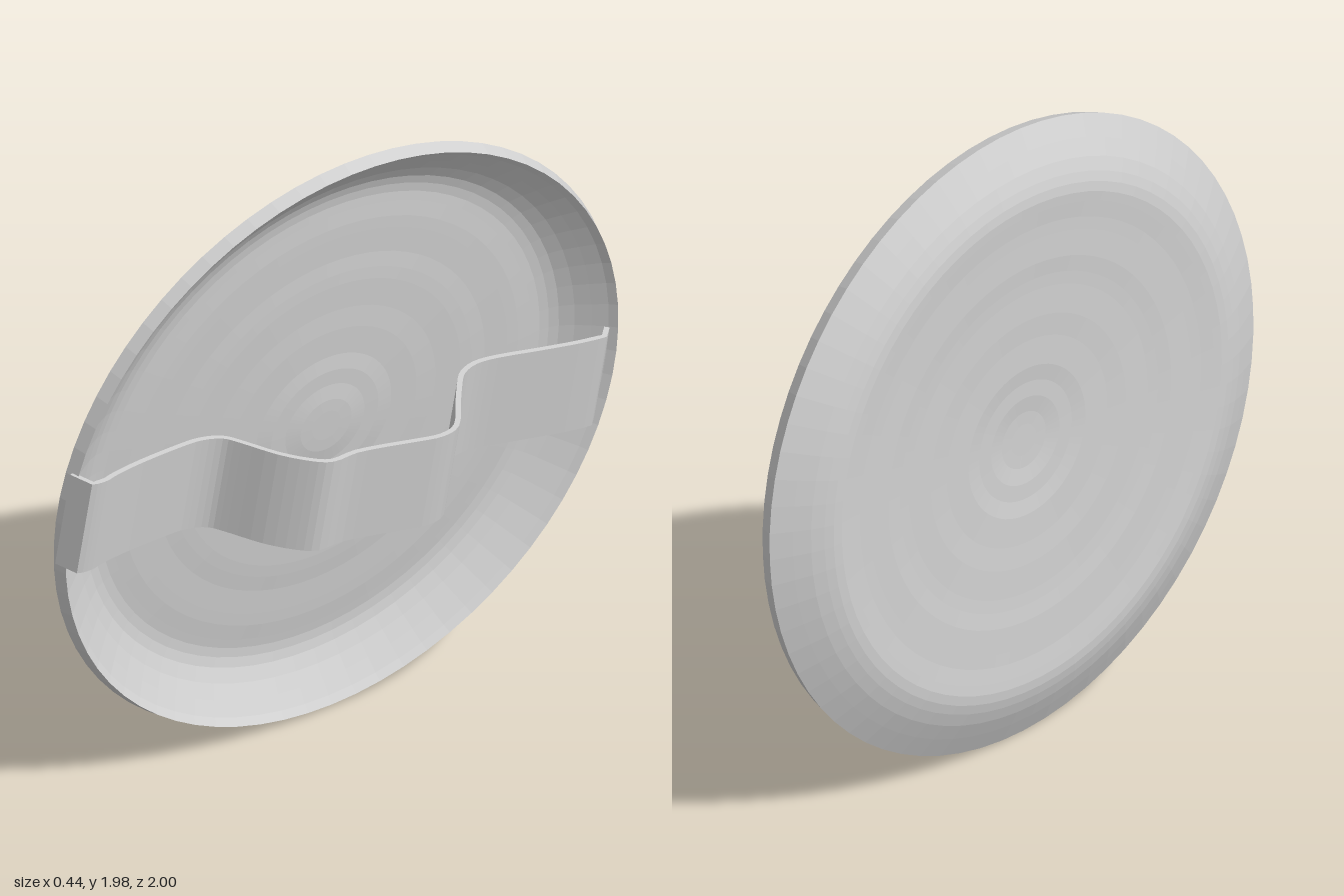
import * as THREE from 'three';

const V2 = (x, y) => new THREE.Vector2(x, y);

// Floor of the dish (radius, rise): shallow steps climbing towards the centre
const floorSteps = [
  [0, 0.034], [0.05, 0.034], [0.09, 0.033], [0.14, 0.027], [0.19, 0.026], [0.24, 0.02],
  [0.33, 0.019], [0.4, 0.015], [0.49, 0.014], [0.53, 0.012], [0.58, 0.008],
  [0.66, 0.007], [0.7, 0.006], [0.75, 0.002], [0.78, 0],
];

// Closed dish profile (radius, depth): back centre, rim, front centre
function dishGeometry() {
  const floor = depth => floorSteps.map(([r, rise]) => V2(r, depth + rise));
  const profile = [
    ...floor(-0.126),
    V2(0.81, -0.123), V2(0.84, -0.115), V2(0.88, -0.1), V2(0.93, -0.075), V2(0.993, -0.042),
    V2(0.98, 0),
    V2(0.96, -0.02), V2(0.92, -0.05), V2(0.88, -0.079), V2(0.84, -0.102), V2(0.81, -0.111),
    ...floor(-0.114).reverse(),
  ];
  const geo = new THREE.LatheGeometry(profile, 72).toNonIndexed();
  geo.rotateZ(-Math.PI / 2); // dish opens towards +x
  geo.computeVertexNormals(); // faceted
  return geo;
}

// Bent band of even thickness, extruded across its width
function strapGeometry(width, thickness) {
  const curve = new THREE.SplineCurve([
    [0.955, 0.047], [0.91, 0.045], [0.86, 0.03], [0.75, 0.007], [0.6, -0.014], [0.52, -0.018],
    [0.455, 0.0], [0.415, 0.045], [0.35, 0.135], [0.28, 0.2], [0.22, 0.229],
    [0.13, 0.218], [0.02, 0.228], [-0.08, 0.242], [-0.16, 0.248], [-0.23, 0.222],
    [-0.3, 0.13], [-0.37, 0.04], [-0.41, 0.0], [-0.47, -0.025], [-0.55, -0.026],
    [-0.7, -0.006], [-0.82, 0.008], [-0.91, 0.012],
  ].map(p => V2(...p)));
  // Clip folded over the rim at one end, turned-in lip at the other
  const path = [V2(0.985, -0.02), ...curve.getPoints(69), V2(-0.95, -0.03)];
  const side = sign => path.map((p, i) => {
    const a = path[Math.max(0, i - 1)], b = path[Math.min(path.length - 1, i + 1)];
    const t = b.clone().sub(a).normalize();
    return V2(p.x - t.y * sign * thickness / 2, p.y + t.x * sign * thickness / 2);
  });
  const shape = new THREE.Shape([...side(1), ...side(-1).reverse()]);
  const geo = new THREE.ExtrudeGeometry(shape, { depth: width, bevelEnabled: false });
  geo.translate(0, 0, -width / 2);
  // Length runs along z with a slight climb, height points to +x
  const tilt = 0.139, c = Math.cos(tilt), s = Math.sin(tilt);
  geo.applyMatrix4(new THREE.Matrix4().makeBasis(
    new THREE.Vector3(0, s, c), new THREE.Vector3(1, 0, 0), new THREE.Vector3(0, c, -s)));
  return geo;
}

export function createModel() {
  const grey = new THREE.MeshStandardMaterial({ color: 0xd0d0d0 });
  grey.name = 'light grey';

  const dish = new THREE.Mesh(dishGeometry(), grey);
  dish.name = 'dish';

  const strap = new THREE.Mesh(strapGeometry(0.313, 0.016), grey);
  strap.name = 'handStrap';
  strap.position.y = -0.027;

  // The whole piece leans slightly off upright
  const leaning = new THREE.Group();
  leaning.name = 'leaningShield';
  leaning.add(dish, strap);
  leaning.quaternion.setFromUnitVectors(
    new THREE.Vector3(1, 0, 0), new THREE.Vector3(1, -0.05, 0.035).normalize());
  leaning.position.set(-0.048, 0.997, 0);

  const model = new THREE.Group();
  model.name = 'strappedShield';
  model.add(leaning);
  return model;
}
